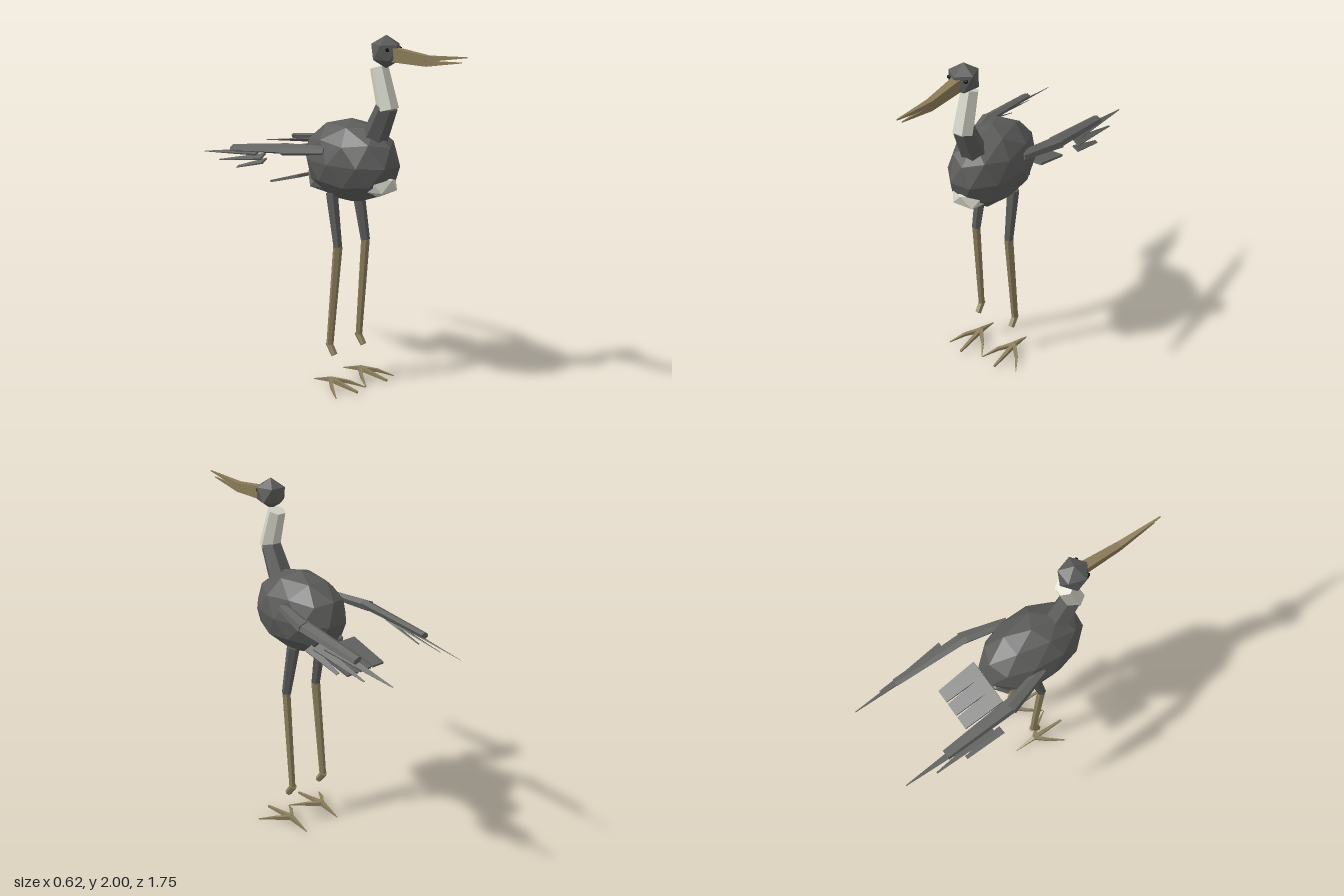
import * as THREE from 'three';

const mat = (name, color) => {
  const m = new THREE.MeshStandardMaterial({ color, flatShading: true });
  m.name = name;
  return m;
};

export function createModel() {
  const slate = mat('slate plumage', 0x5b5c5a);
  const wingGrey = mat('wing grey', 0x626361);
  const pale = mat('pale plumage', 0xd4d4c8);
  const rumpGrey = mat('rump grey', 0x6c6d6a);
  const horn = mat('beak horn', 0x8a7b58);
  const legTan = mat('leg tan', 0x8c7f5e);
  const black = mat('eye black', 0x161616);

  const model = new THREE.Group();
  model.name = 'wadingBird';

  // Faceted ball with a vertex at its top
  const ball = (name, material, pos, size, detail = 0) => {
    const g = new THREE.IcosahedronGeometry(1, detail);
    g.rotateX(-Math.atan((1 + Math.sqrt(5)) / 2)).scale(...size);
    const mesh = new THREE.Mesh(g, material);
    mesh.name = name;
    mesh.position.set(...pos);
    model.add(mesh);
    return mesh;
  };

  // Tapered prism between two points; flat squashes its thickness, roll turns it on its axis
  const limb = (name, material, from, to, r0, r1, sides = 6, flat = 1, roll = 0) => {
    const a = new THREE.Vector3(...from), b = new THREE.Vector3(...to);
    const g = new THREE.CylinderGeometry(r1, r0, a.distanceTo(b), sides);
    g.rotateY(Math.PI / sides).rotateX(Math.PI / 2).scale(1, flat, 1).rotateZ(roll);
    const mesh = new THREE.Mesh(g, material);
    mesh.name = name;
    mesh.position.copy(a).lerp(b, 0.5);
    mesh.lookAt(b);
    model.add(mesh);
    return mesh;
  };

  // Body, breast and rump
  ball('body', slate, [0, 1.305, 0.09], [0.2, 0.232, 0.315], 1);
  ball('breast', pale, [0, 1.205, 0.29], [0.115, 0.075, 0.112]);
  ball('rump', rumpGrey, [0, 1.175, -0.1], [0.12, 0.085, 0.12]);

  // Neck and head
  limb('lowerNeck', slate, [0, 1.45, 0.26], [0, 1.635, 0.35], 0.072, 0.058);
  limb('upperNeck', pale, [0, 1.61, 0.355], [0, 1.832, 0.288], 0.06, 0.05);
  ball('head', slate, [0, 1.917, 0.338], [0.087, 0.087, 0.09]);

  // Long, slightly upturned beak in two halves
  limb('upperBeakBase', horn, [0, 1.92, 0.39], [0, 1.905, 0.62], 0.036, 0.024, 4, 0.9);
  limb('upperBeakTip', horn, [0, 1.905, 0.62], [0, 1.933, 0.875], 0.024, 0.004, 4, 0.9);
  limb('lowerBeakBase', horn, [0, 1.888, 0.39], [0, 1.88, 0.62], 0.028, 0.02, 4);
  limb('lowerBeakTip', horn, [0, 1.88, 0.62], [0, 1.904, 0.84], 0.02, 0.003, 4);

  // Three blunt tail feathers
  for (const i of [-1, 0, 1]) {
    limb('tailFeather', wingGrey, [i * 0.092, 1.19, -0.19], [i * 0.092, 1.122, -0.43], 0.067, 0.056, 4, 0.16);
  }

  for (const s of [-1, 1]) {
    ball('eye', black, [s * 0.05, 1.933, 0.39], [0.012, 0.012, 0.012]);

    // Wing held back, with three feathers below it
    limb('upperWing', wingGrey, [s * 0.165, 1.375, 0.05], [s * 0.235, 1.355, -0.21], 0.03, 0.042, 6, 0.75, s * 0.4);
    limb('forewing', wingGrey, [s * 0.228, 1.362, -0.18], [s * 0.243, 1.307, -0.62], 0.042, 0.029, 6, 0.6, s * 0.4);
    limb('longFeather', wingGrey, [s * 0.245, 1.315, -0.4], [s * 0.245, 1.25, -0.875], 0.04, 0.004, 4, 0.2, s * 0.5);
    limb('middleFeather', wingGrey, [s * 0.265, 1.3, -0.34], [s * 0.275, 1.23, -0.705], 0.038, 0.006, 4, 0.2, s * 0.5);
    limb('shortFeather', wingGrey, [s * 0.289, 1.285, -0.3], [s * 0.291, 1.218, -0.53], 0.032, 0.014, 4, 0.2, s * 0.5);

    // Leg
    limb('thigh', slate, [s * 0.102, 1.13, 0.038], [s * 0.11, 0.83, 0.092], 0.036, 0.026);
    limb('shin', legTan, [s * 0.11, 0.835, 0.092], [s * 0.118, 0.255, 0.037], 0.026, 0.02);
    limb('ankle', legTan, [s * 0.118, 0.262, 0.027], [s * 0.118, 0.2, 0.073], 0.021, 0.019);

    // Foot with three front toes and one hind toe
    const heel = [s * 0.12, 0.045, 0.045];
    limb('middleToe', legTan, heel, [s * 0.12, 0.027, 0.255], 0.018, 0.008, 4);
    limb('hindToe', legTan, heel, [s * 0.12, 0.01, -0.09], 0.018, 0.003, 4);
    for (const t of [-1, 1]) {
      const knuckle = [s * 0.12 + t * 0.065, 0.033, 0.12];
      limb('sideToe', legTan, heel, knuckle, 0.017, 0.012, 4);
      limb('sideToeTip', legTan, knuckle, [s * 0.12 + t * 0.117, 0.008, 0.205], 0.012, 0.003, 4);
    }
  }
  return model;
}
